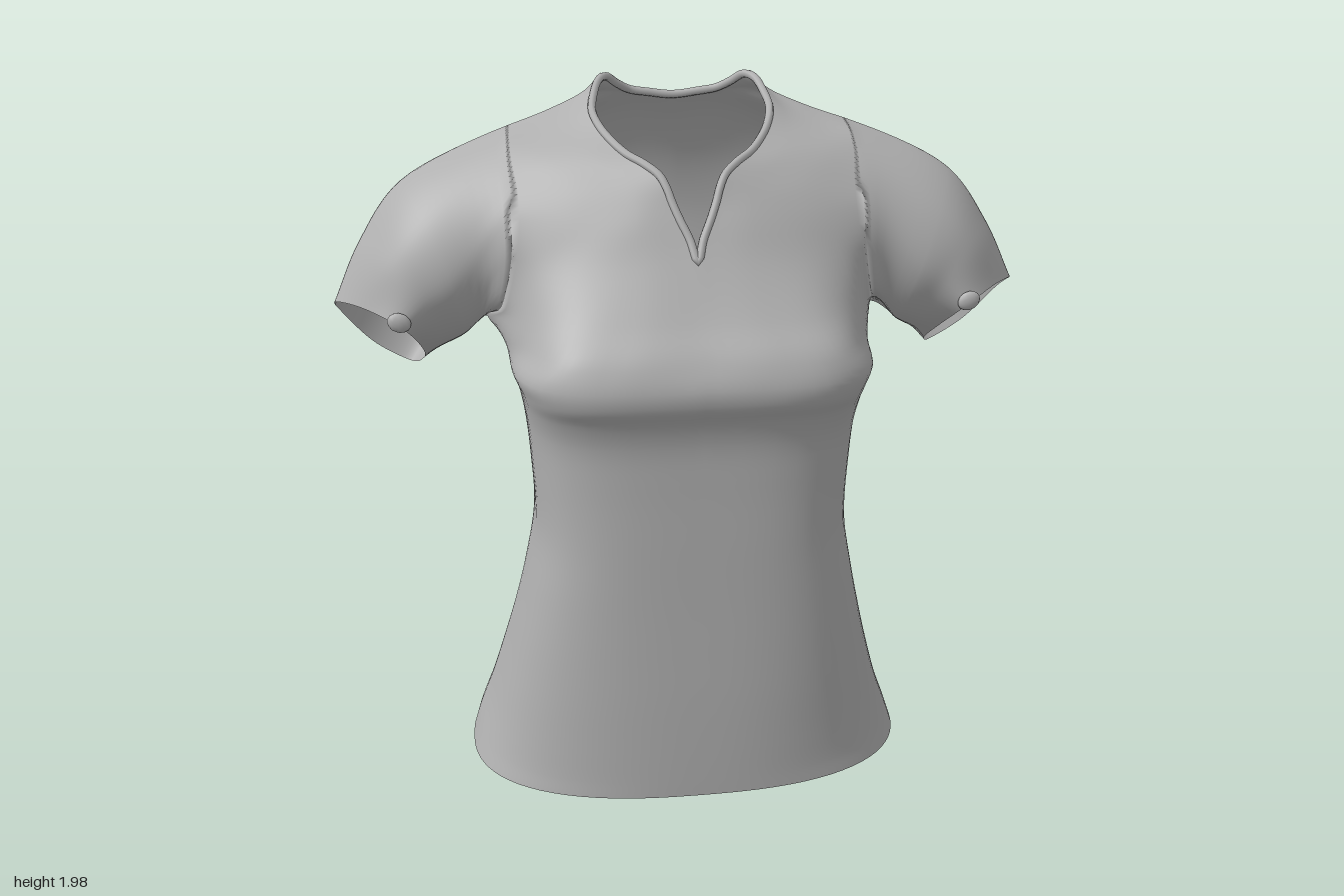
import * as THREE from 'three';
import { mergeGeometries, mergeVertices } from 'three/addons/utils/BufferGeometryUtils.js';

const COLS = 24;   // columns from centre line to side seam
const K = 5;       // steps between two control rows
const curve = (pts, closed = false) => new THREE.CatmullRomCurve3(pts, closed);
const vecs = (list) => list.map((p) => new THREE.Vector3(...p));

// Lower body rings: y, half width, front z, back z, side z, front and back squareness
const RINGS = [
  [0.03, 0.645, 0.42, -0.462, -0.02, 2.5, 2.3],
  [0.10, 0.622, 0.421, -0.458, -0.02, 2.5, 2.3],
  [0.20, 0.585, 0.422, -0.43, -0.01, 2.6, 2.3],
  [0.35, 0.54, 0.422, -0.345, 0.01, 2.8, 2.3],
  [0.50, 0.50, 0.42, -0.275, 0.04, 3.0, 2.3],
  [0.65, 0.465, 0.418, -0.235, 0.06, 3.2, 2.3],
  [0.82, 0.435, 0.417, -0.222, 0.06, 3.4, 2.4],
  [1.00, 0.44, 0.416, -0.235, 0.05, 3.5, 2.5],
  [1.12, 0.45, 0.42, -0.26, 0.03, 3.7, 2.6],
  [1.19, 0.46, 0.437, -0.277, 0.02, 4.0, 2.7],
  [1.24, 0.47, 0.462, -0.29, 0.0, 4.3, 2.8],
  [1.29, 0.487, 0.466, -0.305, -0.02, 4.3, 2.8],
];

// Shoulder seam, shared by the front and back panels
const SEAM = [[0.205, 1.99, -0.165], [0.25, 1.945, -0.16], [0.35, 1.9, -0.14], [0.47, 1.86, -0.12]];

// Upper front rows, from centre or neckline out to the armhole
const FRONT = [
  [[0, 1.36, 0.435], [0.2, 1.36, 0.437], [0.36, 1.36, 0.4], [0.46, 1.36, 0.23], [0.54, 1.35, -0.06]],
  [[0, 1.44, 0.375], [0.17, 1.44, 0.375], [0.32, 1.44, 0.345], [0.43, 1.445, 0.24], [0.5, 1.43, 0.12]],
  [[0, 1.58, 0.29], [0.14, 1.57, 0.29], [0.28, 1.56, 0.268], [0.39, 1.565, 0.215], [0.47, 1.57, 0.165]],
  [[0.05, 1.7, 0.225], [0.15, 1.68, 0.23], [0.3, 1.67, 0.198], [0.465, 1.67, 0.14]],
  [[0.085, 1.78, 0.18], [0.18, 1.757, 0.172], [0.31, 1.745, 0.145], [0.465, 1.74, 0.09]],
  [[0.18, 1.835, 0.09], [0.26, 1.822, 0.085], [0.36, 1.81, 0.062], [0.47, 1.795, 0.03]],
  [[0.238, 1.91, -0.04], [0.3, 1.882, -0.04], [0.38, 1.858, -0.04], [0.47, 1.84, -0.04]],
  SEAM,
];

// Upper back rows
const BACK = [
  [[0, 1.36, -0.325], [0.16, 1.36, -0.33], [0.32, 1.36, -0.315], [0.46, 1.36, -0.23], [0.54, 1.35, -0.06]],
  [[0, 1.46, -0.338], [0.25, 1.46, -0.343], [0.41, 1.45, -0.29], [0.5, 1.43, -0.2]],
  [[0, 1.58, -0.345], [0.24, 1.58, -0.346], [0.39, 1.57, -0.315], [0.49, 1.55, -0.28]],
  [[0, 1.72, -0.325], [0.2, 1.72, -0.328], [0.36, 1.7, -0.305], [0.48, 1.68, -0.275]],
  [[0, 1.84, -0.28], [0.17, 1.855, -0.275], [0.33, 1.82, -0.25], [0.47, 1.78, -0.22]],
  [[0, 1.91, -0.237], [0.16, 1.915, -0.235], [0.32, 1.865, -0.21], [0.47, 1.815, -0.18]],
  [[0.12, 1.935, -0.225], [0.22, 1.935, -0.205], [0.34, 1.885, -0.18], [0.47, 1.845, -0.15]],
  SEAM,
];

// Sleeve rings, each running underarm, front, top, back
const SLEEVE = [
  [[0.63, 1.295, -0.08], [0.6, 1.36, 0.07], [0.63, 1.5, 0.145], [0.69, 1.65, 0.09],
    [0.75, 1.73, -0.07], [0.76, 1.66, -0.2], [0.72, 1.49, -0.265], [0.67, 1.34, -0.21]],
  [[0.68, 1.26, -0.09], [0.66, 1.33, 0.06], [0.7, 1.45, 0.14], [0.78, 1.55, 0.1],
    [0.868, 1.575, -0.05], [0.875, 1.51, -0.16], [0.8, 1.37, -0.22], [0.715, 1.255, -0.19]],
  [[0.725, 1.22, -0.1], [0.72, 1.3, 0.04], [0.765, 1.39, 0.145], [0.86, 1.425, 0.08],
    [0.945, 1.415, -0.03], [0.945, 1.36, -0.13], [0.86, 1.245, -0.18], [0.76, 1.19, -0.17]],
];

// Half of a rounded-square ring, from the centre line to the side
function halfRing([y, w, zf, zb, zs, nf, nb], back, isHem) {
  const pts = [];
  const n = back ? nb : nf;
  for (let i = 0; i <= 10; i++) {
    const a = (i / 10) * Math.PI / 2;
    const s = i === 0 ? 0 : Math.sin(a), c = i === 10 ? 0 : Math.cos(a);
    const r = Math.pow(Math.pow(s, n) + Math.pow(c, n), -1 / n);
    const z = zs + ((back ? zb : zf) - zs) * c * r;
    pts.push(new THREE.Vector3(w * s * r, y + (isHem ? 0.05 * z : 0), z));
  }
  return pts;
}

// Smooth grid through the control rows: grid[row][column]
function panel(upper, back) {
  const rows = [...RINGS.map((r, i) => halfRing(r, back, i === 0)), ...upper.map(vecs)].map((p) => curve(p));
  const steps = (rows.length - 1) * K;
  const grid = Array.from({ length: steps + 1 }, () => []);
  for (let c = 0; c <= COLS; c++) {
    const column = curve(rows.map((r) => r.getPoint(c / COLS)));
    for (let v = 0; v <= steps; v++) {
      const p = column.getPoint(v / steps);
      p.x = Math.max(0, p.x);
      grid[v].push(p);
    }
  }
  return grid;
}

function gridGeometry(grid, flip, mirror) {
  const pos = [], idx = [], n = grid[0].length;
  grid.forEach((row) => row.forEach((p) => pos.push(mirror ? -p.x : p.x, p.y, p.z)));
  for (let v = 0; v < grid.length - 1; v++) {
    for (let u = 0; u < n - 1; u++) {
      const a = v * n + u, b = a + 1, c = a + n, d = c + 1;
      if (flip !== mirror) idx.push(a, c, b, b, c, d);
      else idx.push(a, b, c, b, d, c);
    }
  }
  const g = new THREE.BufferGeometry();
  g.setAttribute('position', new THREE.Float32BufferAttribute(pos, 3));
  g.setIndex(idx);
  return g;
}

// Sleeve grid growing out of the armhole
function sleeveGrid(armhole) {
  const n = armhole.length - 1;
  const rings = SLEEVE.map((r) => curve(vecs(r), true));
  const steps = 24;
  const grid = armhole.map((start, i) => {
    // Lead-in point, so that the sleeve leaves the body smoothly
    const t = THREE.MathUtils.clamp((start.y - 1.35) / 0.5, 0, 1);
    const lead = start.clone().add(new THREE.Vector3(-0.06 - 0.06 * t, -0.09 + 0.12 * t, 0));
    const line = curve([lead, start, ...rings.map((r) => r.getPoint((i % n) / n))]);
    return Array.from({ length: steps + 1 }, (_, s) => line.getPoint(0.25 + 0.75 * s / steps));
  });
  return grid;
}

export function createModel() {
  const group = new THREE.Group();
  group.name = 'shirt';
  const cloth = new THREE.MeshStandardMaterial({ color: 0xb0b0b0, side: THREE.DoubleSide });
  cloth.name = 'grey cloth';
  const add = (name, geometry) => {
    const mesh = new THREE.Mesh(geometry, cloth);
    mesh.name = name;
    group.add(mesh);
    return mesh;
  };

  // Front and back panels share one side seam below the armpit
  const front = panel(FRONT, false), back = panel(BACK, true);
  const armpit = RINGS.length * K, top = front.length - 1;
  for (let v = 0; v <= armpit; v++) {
    front[v][COLS].lerp(back[v][COLS], 0.5);
    back[v][COLS].copy(front[v][COLS]);
  }

  // Armhole loop: up the front, down the back
  const armhole = [];
  for (let v = armpit; v <= top; v++) armhole.push(front[v][COLS]);
  for (let v = top - 1; v >= armpit; v--) armhole.push(back[v][COLS]);
  const sleeve = sleeveGrid(armhole);

  // Body and sleeves welded into one smooth garment
  const parts = [];
  for (const mirror of [false, true]) {
    parts.push(gridGeometry(front, false, mirror), gridGeometry(back, true, mirror), gridGeometry(sleeve, true, mirror));
  }
  const garment = mergeVertices(mergeGeometries(parts), 1e-4);
  garment.computeVertexNormals();
  add('bodyAndSleeves', garment);

  // Neckband along the notched collar
  const half = [];
  for (let v = (RINGS.length + 2) * K; v <= top; v += 2) half.push(front[v][0]);
  for (let v = top - 1; v > (RINGS.length + 5) * K; v -= 2) half.push(back[v][0]);
  const other = half.slice(1).reverse().map((p) => new THREE.Vector3(-p.x, p.y, p.z));
  add('neckband', new THREE.TubeGeometry(curve([...half, ...other], true), 160, 0.011, 8, true));

  // Small gathered tab at the front of each cuff
  for (const side of [1, -1]) {
    const tab = add(side > 0 ? 'leftCuffTab' : 'rightCuffTab', new THREE.SphereGeometry(1, 12, 8));
    tab.scale.set(0.032, 0.026, 0.014);
    tab.position.set(side * 0.768, 1.405, 0.15);
    tab.rotation.z = side * 0.4;
  }
  return group;
}
